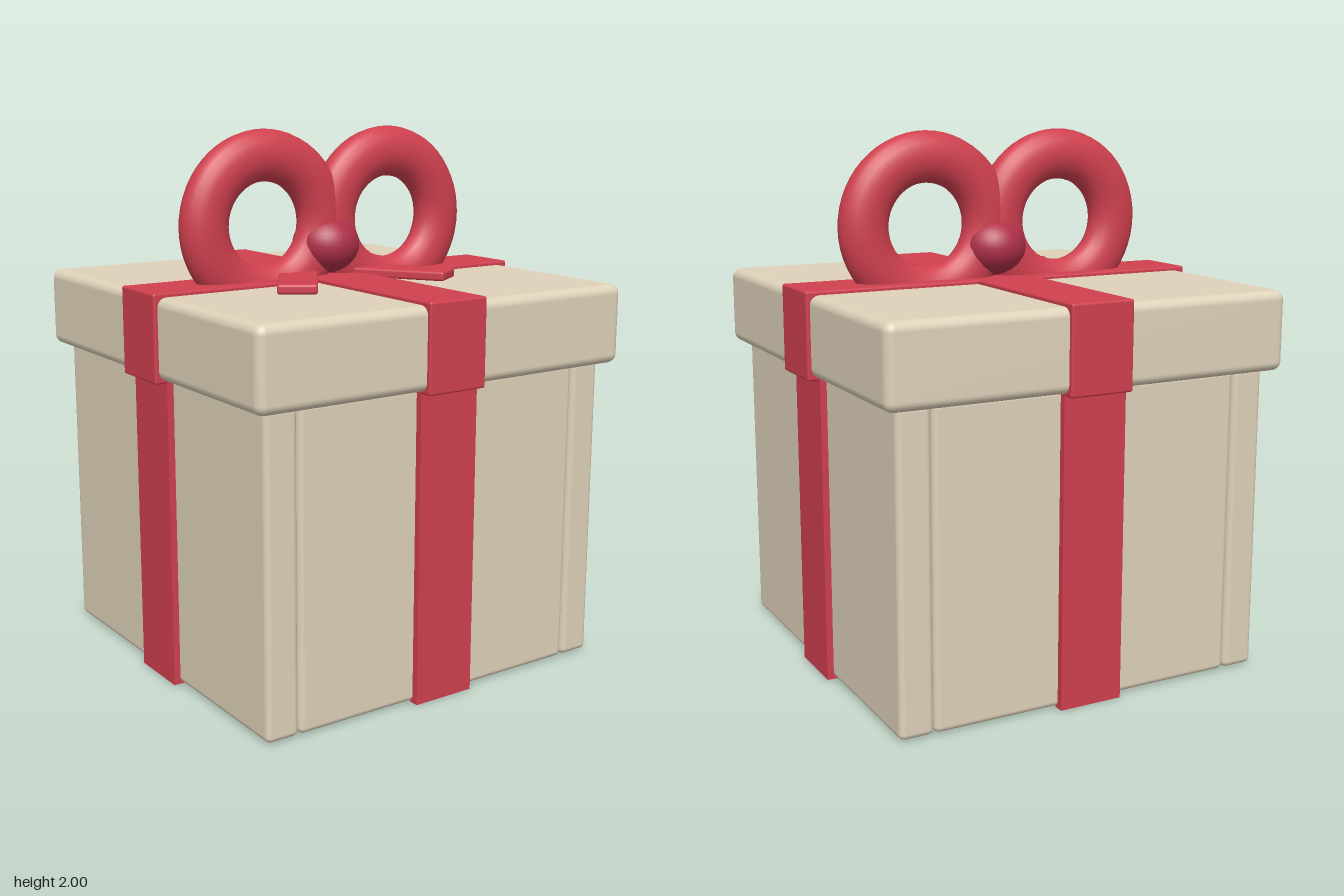
import * as THREE from 'three';
import { RoundedBoxGeometry } from 'three/addons/geometries/RoundedBoxGeometry.js';

const paint = (color) => new THREE.MeshStandardMaterial({ color });

export function createModel() {
  const group = new THREE.Group();
  const card = paint(0xdfd2ba);
  const ribbon = paint(0xd0404f);
  const knotRed = paint(0xb0304a);
  const dark = paint(0x1f1922);

  const add = (name, geometry, material, x, y, z) => {
    const mesh = new THREE.Mesh(geometry, material);
    mesh.name = name;
    mesh.position.set(x, y, z);
    group.add(mesh);
    return mesh;
  };
  const rounded = (w, h, d, r) => new RoundedBoxGeometry(w, h, d, 3, r);

  // Box: floor, full-depth side walls, front and back walls set between them
  add('floor', new THREE.BoxGeometry(1.22, 0.1, 1.22), dark, 0, 0.053, 0);
  for (const s of [1, -1]) {
    add(s > 0 ? 'leftWall' : 'rightWall', rounded(0.127, 1.15, 1.46, 0.022), card, s * 0.6665, 0.58, 0);
    add(s > 0 ? 'frontWall' : 'backWall', rounded(1.2, 1.15, 0.127, 0.022), card, 0, 0.58, s * 0.6665);
  }

  // Lid
  add('lid', rounded(1.57, 0.295, 1.57, 0.035), card, 0, 1.2925, 0);

  // Ribbon wrapped over the lid
  add('lidRibbonAcross', rounded(1.6, 0.32, 0.245, 0.008), ribbon, 0, 1.295, 0);
  add('lidRibbonAlong', rounded(0.245, 0.32, 1.6, 0.008), ribbon, 0, 1.295, 0);

  // Ribbon strips down the four walls
  for (const s of [1, -1]) {
    add('sideRibbon', new THREE.BoxGeometry(0.04, 1.15, 0.245), ribbon, s * 0.735, 0.575, 0);
    add('endRibbon', new THREE.BoxGeometry(0.245, 1.15, 0.04), ribbon, 0, 0.575, s * 0.735);
  }

  // Bow: flattened loops and splayed tails
  for (const s of [1, -1]) {
    const loop = add('bowLoop', new THREE.TorusGeometry(0.25, 0.095, 20, 56), ribbon, s * 0.278, 1.655, 0);
    loop.scale.z = 0.75;
    const tail = add('bowTail', rounded(0.145, 0.036, 0.38, 0.01), ribbon, s * 0.235, 1.457, 0.167);
    tail.rotation.y = s * 0.59;
  }

  // Knot
  const knot = add('bowKnot', new THREE.SphereGeometry(0.127, 32, 20), knotRed, 0, 1.565, 0);
  knot.scale.y = 0.87;

  return group;
}
